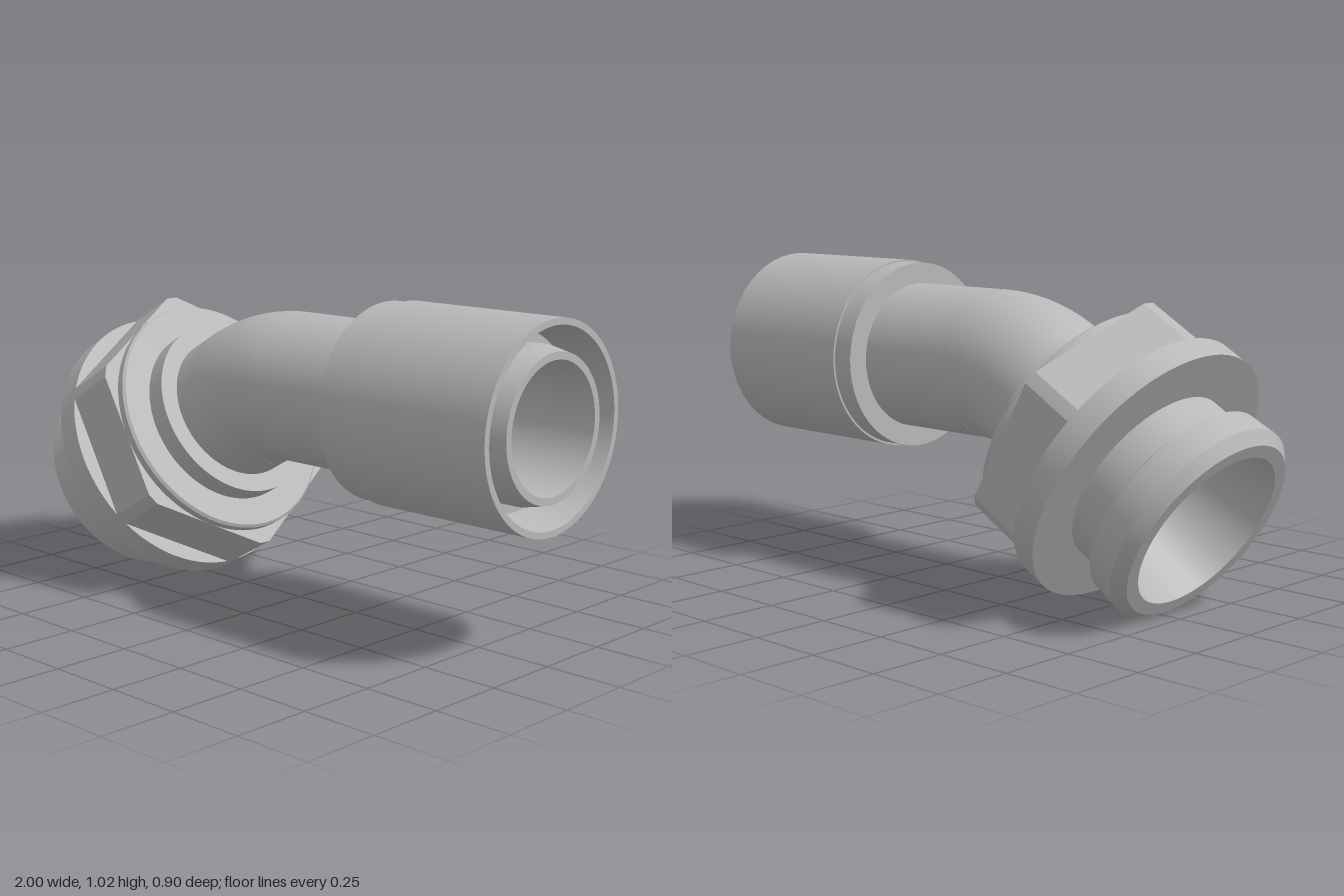
import * as THREE from 'three';
import { toCreasedNormals } from 'three/addons/utils/BufferGeometryUtils.js';

const AXIS_Y = 0.705;            // height of the straight pipe axis
const BEND_R = 0.43;             // bend radius of the pipe axis
const BEND = Math.PI / 6;        // bend angle
const PIPE_R = 0.24, BORE_R = 0.197;
const TANGENT = BEND_R * Math.tan(BEND / 2);

export function createModel() {
  const model = new THREE.Group();
  const steel = new THREE.MeshStandardMaterial({ color: 0xb8b8b8, side: THREE.DoubleSide });
  steel.name = 'steel grey';

  const add = (parent, name, geometry) => {
    const mesh = new THREE.Mesh(geometry, steel);
    mesh.name = name;
    parent.add(mesh);
    return mesh;
  };
  // Turned part from [radius, distance along axis] pairs, with sharp edges kept
  const turned = (profile) => toCreasedNormals(
    new THREE.LatheGeometry(profile.map(([r, y]) => new THREE.Vector2(r, y)), 96), 0.15);

  // Straight pipe with its sleeve and the annular recess at the open end
  const straight = new THREE.Group();
  straight.name = 'straightEnd';
  straight.position.y = AXIS_Y;
  straight.rotation.z = -Math.PI / 2;
  model.add(straight);
  add(straight, 'pipeAndSleeve', turned([
    [PIPE_R, 0], [PIPE_R, 0.375], [0.308, 0.375], [0.308, 0.45], [0.315, 0.45],
    [0.315, 1], [0.295, 1], [0.267, 0.86], [0.235, 0.86], [0.235, 0.93],
    [0.22, 1], [BORE_R, 1], [BORE_R, 0],
  ]));

  // Bend, outside and bore
  for (const [name, r] of [['bendOuter', PIPE_R], ['bendBore', BORE_R]]) {
    const bend = add(model, name, new THREE.TorusGeometry(BEND_R, r, 64, 24, BEND));
    bend.position.y = AXIS_Y - BEND_R;
    bend.rotation.z = Math.PI / 2;
  }

  // Angled end: local +y runs along the axis from the tangent intersection
  const angled = new THREE.Group();
  angled.name = 'angledEnd';
  angled.position.set(-TANGENT, AXIS_Y, 0);
  angled.rotation.z = Math.PI / 2 + BEND;
  model.add(angled);

  // Collar, neck, chamfered end ring and conical mouth
  add(angled, 'connectorBody', turned([
    [PIPE_R, TANGENT], [PIPE_R, 0.21], [0.3, 0.21], [0.3, 0.69], [0.34, 0.712],
    [0.345, 0.805], [0.313, 0.842], [0.27, 0.842], [BORE_R, 0.5], [BORE_R, TANGENT],
  ]));

  // Round shoulder and flange either side of the hexagon
  add(angled, 'nutShoulder', turned([[0.29, 0.28], [0.392, 0.28], [0.4, 0.288], [0.4, 0.32]]));
  add(angled, 'nutFlange', turned([[0.29, 0.5], [0.45, 0.5], [0.45, 0.585], [0.29, 0.585]]));

  // Hexagon with corners rounded to the flange radius
  const hex = new THREE.Shape();
  const half = Math.PI / 6 - Math.acos(0.4 / 0.45);
  for (let k = 0; k < 6; k++) {
    const a = k * Math.PI / 3;
    hex.absarc(0, 0, 0.45, a - half, a + half, false);
  }
  hex.closePath();
  const hole = new THREE.Path();
  hole.absarc(0, 0, 0.29, 0, Math.PI * 2, true);
  hex.holes.push(hole);
  const hexGeometry = new THREE.ExtrudeGeometry(hex, { depth: 0.187, bevelEnabled: false, curveSegments: 24 });
  hexGeometry.rotateX(-Math.PI / 2);
  add(angled, 'nutHexagon', hexGeometry).position.y = 0.313;

  return model;
}
